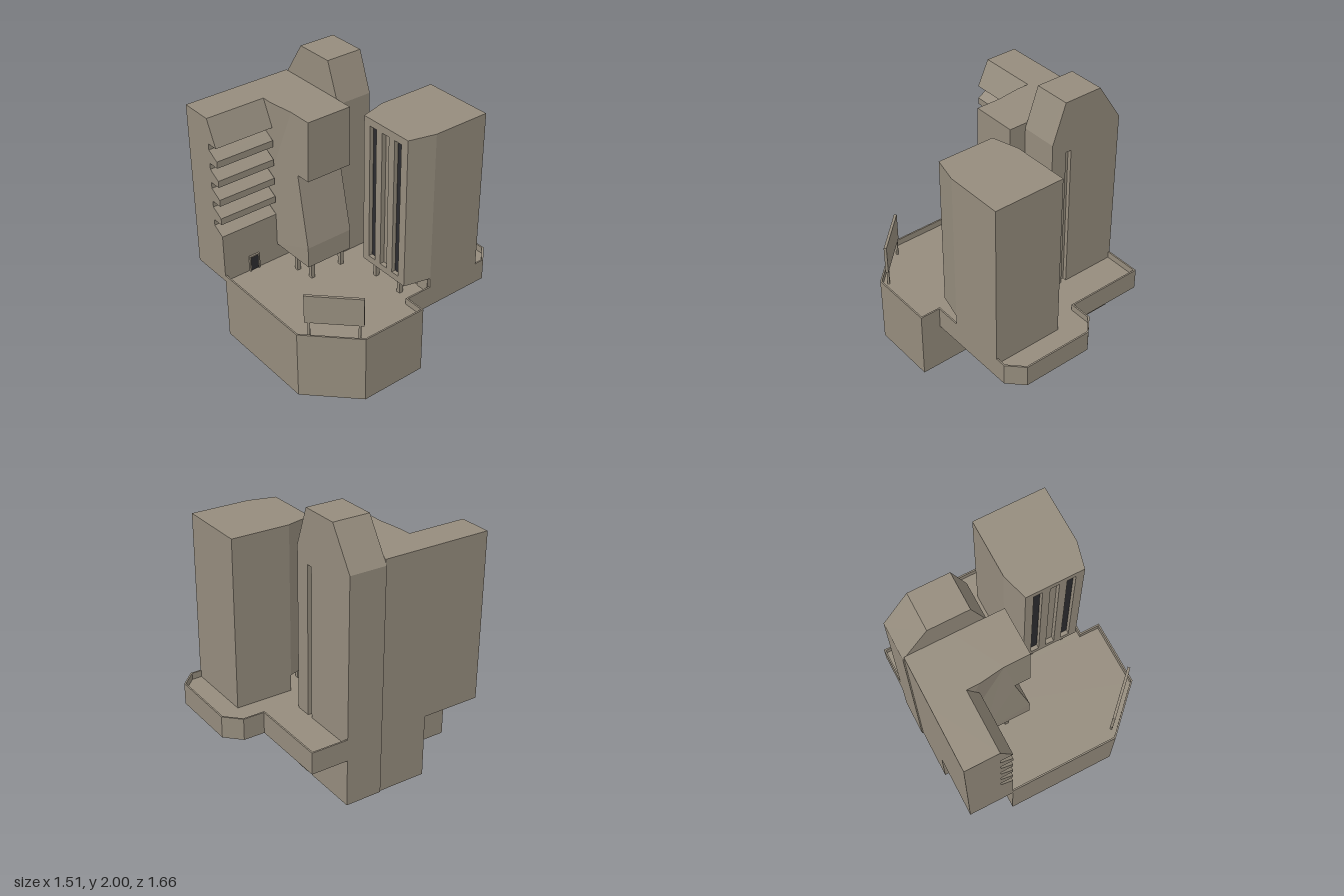
import * as THREE from 'three';

const stone = new THREE.MeshStandardMaterial({ color: 0x958c7d });
stone.name = 'stone';
const darkGlass = new THREE.MeshStandardMaterial({ color: 0x2c2c2f });
darkGlass.name = 'dark glass';

export function createModel() {
  const model = new THREE.Group();

  const add = (name, geometry, material = stone) => {
    const mesh = new THREE.Mesh(geometry, material);
    mesh.name = name;
    model.add(mesh);
    return mesh;
  };
  const shapeOf = (pts) => new THREE.Shape(pts.map(([a, b]) => new THREE.Vector2(a, b)));
  const extrude = (shape, depth) => new THREE.ExtrudeGeometry(shape, { depth, bevelEnabled: false });

  // Plan outline [x, z] raised from y0 to y1, with an optional hole
  const plan = (name, pts, y0, y1, hole) => {
    const flip = (list) => list.map(([x, z]) => [x, -z]);
    const shape = shapeOf(flip(pts));
    if (hole) shape.holes.push(shapeOf(flip(hole)));
    return add(name, extrude(shape, y1 - y0).rotateX(-Math.PI / 2).translate(0, y0, 0));
  };
  // Front profile [x, y] running from z0 to z1
  const profile = (name, pts, z0, z1) => add(name, extrude(shapeOf(pts), z1 - z0).translate(0, 0, z0));
  const box = (name, x0, x1, y0, y1, z0, z1, material) =>
    add(name, new THREE.BoxGeometry(x1 - x0, y1 - y0, z1 - z0)
      .translate((x0 + x1) / 2, (y0 + y1) / 2, (z0 + z1) / 2), material);

  const deckY = 0.475;

  // Plinth, notched under the overhanging front left block
  const front = [[0.43, 0.83], [0.755, 0.505], [0.755, 0]];
  plan('plinth', [[-0.75, 0], [-0.75, 0.375], [-0.41, 0.375], [-0.41, 0.83], ...front], 0, deckY);

  // Cantilevered rear terrace
  const rear = [[0.6, 0], [0.6, -0.72], [0.49, -0.83], [-0.05, -0.83],
    [-0.16, -0.72], [-0.16, -0.56], [-0.76, -0.56], [-0.76, 0]];
  plan('rearTerrace', rear, 0.36, deckY);

  // Parapet: deck outline with a mitred inner outline cut out
  const outline = [[-0.75, 0.83], ...front, ...rear, [-0.75, 0]];
  const inset = (pts, d) => pts.map((p, i) => {
    const a = pts[(i + pts.length - 1) % pts.length], b = pts[(i + 1) % pts.length];
    const normal = (s, e) => {
      const l = Math.hypot(e[0] - s[0], e[1] - s[1]);
      return [(e[1] - s[1]) / l, -(e[0] - s[0]) / l];
    };
    const m = normal(a, p), n = normal(p, b);
    const k = d / (1 + m[0] * n[0] + m[1] * n[1]);
    return [p[0] + (m[0] + n[0]) * k, p[1] + (m[1] + n[1]) * k];
  });
  plan('parapet', outline, deckY, 0.525, inset(outline, 0.012));

  // Rear left tower with sloped crown and a long groove in its back
  const crown = [[-0.165, 1.71], [-0.27, 2], [-0.57, 2], [-0.76, 1.71]];
  profile('rearTower', [[-0.76, 0], [-0.165, 0], ...crown], -0.25, 0);
  profile('rearTowerGroovedBack', [[-0.76, 0], [-0.33, 0], [-0.33, 1.61], [-0.285, 1.61],
    [-0.285, 0], [-0.165, 0], ...crown], -0.28, -0.25);

  // Front left block with a column of sawtooth ledges
  const saw = [[-0.75, deckY], [-0.41, deckY]];
  for (let i = 4; i >= 0; i--) {
    const y = 1.56 - i * 0.151;
    saw.push([-0.41, y - 0.1], [-0.5, y - 0.047], [-0.5, y], [-0.41, y]);
  }
  saw.push([-0.5, 1.75], [-0.75, 1.75]);
  profile('sawtoothBlock', saw, 0.375, 0.83);

  // Overhanging wing beside it, its front leaning back slightly toward the top
  const wing = profile('overhangingWing', [[-0.75, deckY], [-0.41, deckY], [-0.41, 0.6], [-0.22, 0.6],
    [-0.035, 0.6], [-0.035, 0.76], [-0.15, 1.3], [-0.035, 1.3], [-0.035, 1.75],
    [-0.22, 1.75], [-0.41, 1.75], [-0.75, 1.75]], 0, 0.375);
  const pos = wing.geometry.attributes.position;
  for (let i = 0; i < pos.count; i++) {
    if (pos.getZ(i) < 0.3) continue;
    const up = THREE.MathUtils.clamp((pos.getY(i) - 0.8) / 0.95, 0, 1);
    const across = THREE.MathUtils.clamp((pos.getX(i) + 0.41) / 0.19, 0, 1);
    pos.setZ(i, 0.375 - 0.025 * up * across);
  }
  wing.geometry.computeVertexNormals();

  // Legs under the wing
  for (const [x, z] of [[-0.07, 0.32], [-0.07, 0.06], [-0.21, 0.34]]) {
    box('wingLeg', x - 0.015, x + 0.015, deckY, 0.6, z - 0.015, z + 0.015);
  }

  // Right tower, with three tall window slots in its front
  const slots = [[0.175, 0.24], [0.298, 0.365], [0.422, 0.487]];
  const towerPlan = (cut) => [[0.06, -0.64], [0.06, -0.2], [0.115, 0],
    ...(cut ? slots.flatMap(([a, b]) => [[a, 0], [a, -0.035], [b, -0.035], [b, 0]]) : []),
    [0.55, 0], [0.6, -0.2], [0.6, -0.64]];
  plan('rightTowerLower', towerPlan(false), 0.6, 0.65);
  plan('rightTowerSlotted', towerPlan(true), 0.65, 1.695);
  plan('rightTowerTop', towerPlan(false), 1.695, 1.75);
  for (const [a, b] of [slots[0], slots[2]]) {
    box('slotWindow', a, b, 0.65, 1.695, -0.035, -0.031, darkGlass);
  }

  // Recessed ground floor of the right tower, with entrance and legs
  box('rightTowerGroundFloor', 0.06, 0.6, deckY, 0.6, -0.64, -0.2);
  box('rightTowerDoor', 0.095, 0.175, deckY, 0.588, -0.2, -0.193, darkGlass);
  box('rightTowerWallPanel', 0.215, 0.44, deckY, 0.588, -0.2, -0.193);
  box('rightTowerWallPanel', 0.475, 0.58, deckY, 0.588, -0.2, -0.193);
  for (const x of [0.2, 0.455]) {
    box('rightTowerLeg', x - 0.015, x + 0.015, deckY, 0.6, -0.065, -0.035);
  }

  // Entrance in the side of the sawtooth block
  box('sideDoor', -0.41, -0.403, deckY, 0.59, 0.55, 0.615, darkGlass);
  box('sideDoorJamb', -0.41, -0.395, deckY, 0.6, 0.54, 0.55);
  box('sideDoorJamb', -0.41, -0.395, deckY, 0.6, 0.615, 0.625);
  box('sideDoorLintel', -0.41, -0.395, 0.59, 0.6, 0.55, 0.615);

  // Freestanding panel on two posts along the chamfered corner
  const panel = new THREE.Group();
  panel.name = 'cornerPanel';
  panel.position.set(0.567, 0, 0.62);
  panel.rotation.y = Math.PI / 4;
  panel.add(box('panelBoard', -0.2, 0.2, 0.6, 0.82, -0.01, 0.01));
  for (const x of [-0.17, 0.17]) {
    panel.add(box('panelPost', x - 0.008, x + 0.008, deckY, 0.6, -0.008, 0.008));
  }
  model.add(panel);

  return model;
}
